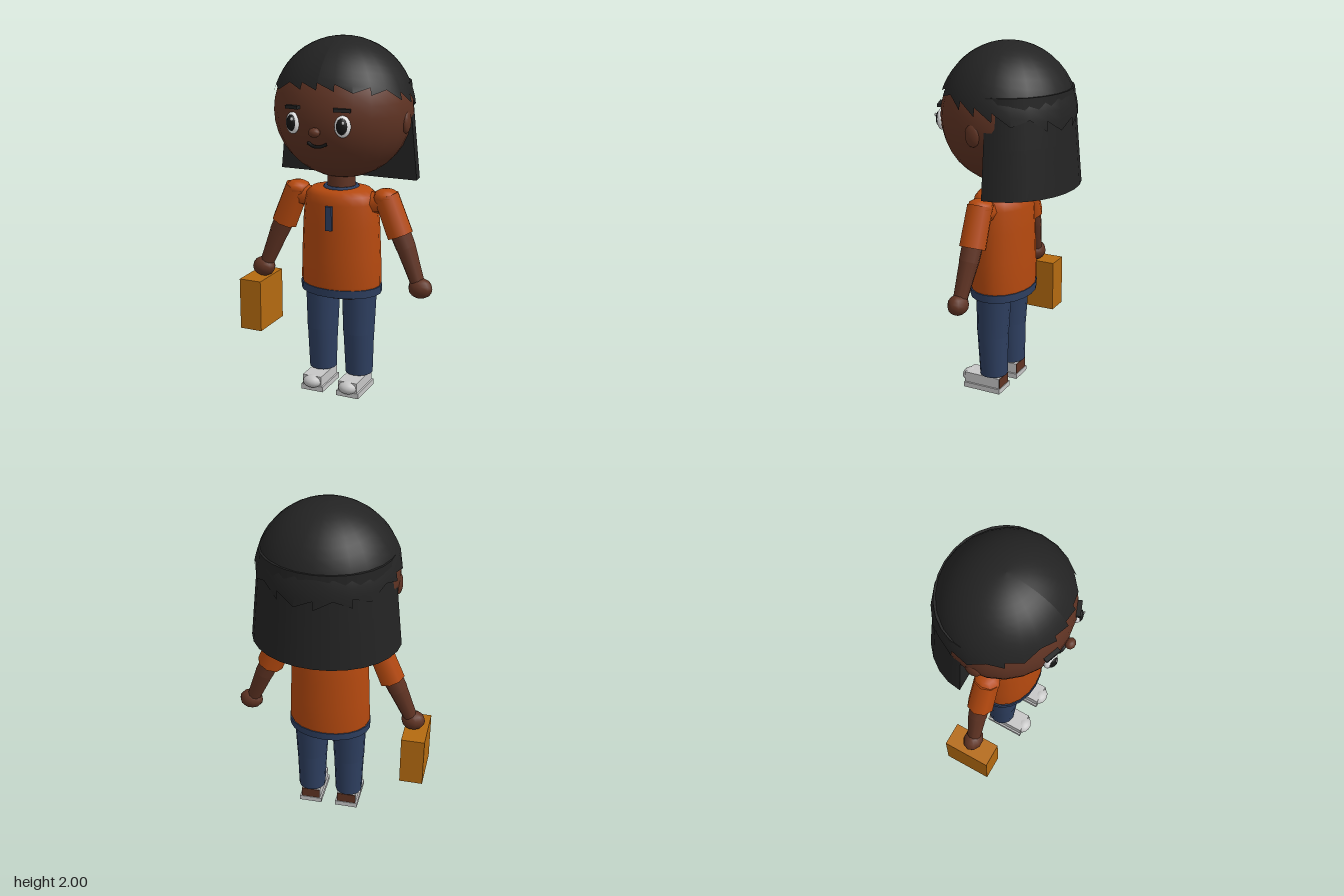
import * as THREE from 'three';

const material = (name, color, side = THREE.FrontSide) => {
  const m = new THREE.MeshStandardMaterial({ color, side });
  m.name = name;
  return m;
};

export function createModel() {
  const skin = material('skin', 0x5f3323);
  const hair = material('hair', 0x232323, THREE.DoubleSide);
  const orange = material('shirt orange', 0xb5490f);
  const navy = material('navy', 0x2e3f60);
  const bagTan = material('bag tan', 0xb46a10);
  const shoeGrey = material('shoe grey', 0xc6c6c6);
  const white = material('eye white', 0xe6e6e6);
  const black = material('black', 0x151515);

  const model = new THREE.Group();
  model.name = 'character';
  const body = new THREE.Group();
  body.name = 'body';
  body.position.x = 0.006;
  model.add(body);

  const add = (name, geometry, mat, x = 0, y = 0, z = 0, parent = body) => {
    const mesh = new THREE.Mesh(geometry, mat);
    mesh.name = name;
    mesh.position.set(x, y, z);
    parent.add(mesh);
    return mesh;
  };
  const ball = (name, mat, x, y, z, rx, ry, rz, w = 16, h = 12) =>
    add(name, new THREE.SphereGeometry(1, w, h).scale(rx, ry, rz), mat, x, y, z);
  const box = (name, mat, x, y, z, w, h, d, parent = body) =>
    add(name, new THREE.BoxGeometry(w, h, d), mat, x, y, z, parent);
  // Tapered limb from point a (radius ra) to point b (radius rb)
  const limb = (name, mat, a, b, ra, rb, sides) => {
    const from = new THREE.Vector3(...a), to = new THREE.Vector3(...b);
    const dir = from.clone().sub(to);
    const mesh = add(name, new THREE.CylinderGeometry(ra, rb, dir.length(), sides), mat);
    mesh.position.copy(from).add(to).multiplyScalar(0.5);
    mesh.quaternion.setFromUnitVectors(new THREE.Vector3(0, 1, 0), dir.normalize());
    return mesh;
  };
  const lathe = (points, sides) =>
    new THREE.LatheGeometry(points.map(p => new THREE.Vector2(...p)), sides);

  // Head and neck
  ball('head', skin, 0, 1.605, 0, 0.385, 0.375, 0.36, 24, 18);
  add('neck', new THREE.CylinderGeometry(0.078, 0.082, 0.18, 14), skin, 0, 1.18, 0.03);
  ball('nose', skin, 0, 1.535, 0.373, 0.033, 0.026, 0.028, 10, 8);

  // Hair cap: a dome whose rim follows a tilted plane
  const cap = new THREE.SphereGeometry(1, 24, 12);
  const pos = cap.attributes.position, uv = cap.attributes.uv;
  const dome = (phi, t) => new THREE.Vector3(
    0.397 * Math.sin(t) * Math.sin(phi), 1.6 + 0.4 * Math.cos(t), 0.375 * Math.sin(t) * Math.cos(phi));
  for (let i = 0; i < pos.count; i++) {
    const phi = Math.round(uv.getX(i) * 24) / 24 * Math.PI * 2;
    let lo = 0, hi = Math.PI;
    for (let k = 0; k < 24; k++) {
      const mid = (lo + hi) / 2, p = dome(phi, mid);
      if (p.y > 1.662 + 0.25 * p.z) lo = mid; else hi = mid;
    }
    const p = dome(phi, lo * (1 - uv.getY(i)));
    pos.setXYZ(i, p.x, p.y, p.z);
  }
  // The mapping runs the other way round the axis, so flip the faces
  const order = Array.from(cap.index.array);
  for (let i = 0; i < order.length; i += 3) [order[i], order[i + 1]] = [order[i + 1], order[i]];
  cap.setIndex(order);
  cap.computeVertexNormals();
  add('hairCap', cap, hair);

  // Back hair: flared half cylinder with a flat front
  const drape = new THREE.CylinderGeometry(0.358, 0.411, 0.53, 14, 2, false, Math.PI / 2, Math.PI);
  add('backHair', drape.scale(1, 1, 0.84), hair, 0, 1.495, -0.05);
  const panel = new THREE.Shape([[-0.411, 1.23], [0.411, 1.23], [0.358, 1.76], [-0.358, 1.76]]
    .map(p => new THREE.Vector2(...p)));
  add('backHairFront', new THREE.ShapeGeometry(panel), hair, 0, 0, -0.05);

  // Mouth
  const smile = new THREE.CatmullRomCurve3([
    [-0.055, 1.472, 0.335], [-0.025, 1.458, 0.342], [0, 1.455, 0.345], [0.025, 1.458, 0.342], [0.055, 1.472, 0.335],
  ].map(p => new THREE.Vector3(...p)));
  add('mouth', new THREE.TubeGeometry(smile, 12, 0.009, 6), black);

  // Shirt, collar, hem and placket
  const shirt = lathe([[0.225, 0.61], [0.234, 0.64], [0.23, 0.8], [0.222, 0.98], [0.212, 1.1],
    [0.2, 1.145], [0.17, 1.172], [0.09, 1.182]], 20);
  add('shirt', shirt.scale(1, 1, 0.745), orange, 0, 0, 0.03);
  const hem = new THREE.CylinderGeometry(0.238, 0.236, 0.045, 20);
  add('shirtHem', hem.scale(1, 1, 0.74), navy, 0, 0.603, 0.03);
  const hips = new THREE.CylinderGeometry(0.215, 0.2, 0.03, 20);
  add('hips', hips.scale(1, 1, 0.72), skin, 0, 0.583, 0.03);
  const collar = new THREE.TorusGeometry(0.088, 0.013, 6, 20).rotateX(Math.PI / 2);
  add('collar', collar, navy, 0, 1.178, 0.03);
  box('placket', navy, 0, 1.032, 0.2, 0.038, 0.135, 0.016);

  for (const s of [1, -1]) {
    const side = s > 0 ? 'left' : 'right';

    // Face details
    ball(side + 'Ear', skin, s * 0.372, 1.56, 0.018, 0.022, 0.062, 0.044, 12, 10);
    const turn = s * 0.3;
    const eye = ball(side + 'Eye', white, s * 0.143, 1.57, 0.335, 0.043, 0.058, 0.024);
    eye.rotation.y = turn;
    const pupil = ball(side + 'Pupil', black, s * 0.144, 1.572, 0.347, 0.031, 0.044, 0.02);
    pupil.rotation.y = turn;
    ball(side + 'EyeGlint', white, s * 0.146 + 0.012, 1.594, 0.363, 0.009, 0.01, 0.005, 8, 6);
    const brow = box(side + 'Brow', hair, s * 0.14, 1.654, 0.336, 0.09, 0.018, 0.03);
    brow.rotation.set(0, s * 0.35, -s * 0.05);

    // Arms
    limb(side + 'Sleeve', orange, [s * 0.268, 1.15, 0.033], [s * 0.353, 0.938, 0.035], 0.073, 0.076, 8);
    ball(side + 'Shoulder', orange, s * 0.268, 1.145, 0.033, 0.074, 0.046, 0.076, 8, 6);
    limb(side + 'ShoulderJoin', orange, [s * 0.15, 1.1, 0.03], [s * 0.27, 1.11, 0.033], 0.06, 0.06, 8);
    limb(side + 'UpperArm', skin, [s * 0.345, 0.97, 0.035], [s * 0.39, 0.87, 0.038], 0.058, 0.055, 10);
    limb(side + 'Forearm', skin, [s * 0.388, 0.875, 0.037], [s * 0.47, 0.67, 0.053], 0.054, 0.038, 10);
    ball(side + 'Hand', skin, s * 0.482, 0.657, 0.055, 0.069, 0.057, 0.056, 10, 8);

    // Trouser legs in two overlapping pieces
    limb(side + 'Thigh', navy, [s * 0.112, 0.6, 0.035], [s * 0.112, 0.345, 0.042], 0.1, 0.09, 14);
    limb(side + 'Shin', navy, [s * 0.112, 0.355, 0.042], [s * 0.113, 0.1, 0.036], 0.089, 0.079, 14);

    // Shoes with bare heels
    const x = s * 0.11;
    limb(side + 'Ankle', skin, [x, 0.13, 0.035], [x, 0.06, 0.035], 0.055, 0.055, 10);
    box(side + 'Sole', shoeGrey, x, 0.015, 0.085, 0.134, 0.03, 0.23);
    box(side + 'Upper', shoeGrey, x, 0.059, 0.088, 0.114, 0.062, 0.22);
    box(side + 'Heel', skin, x, 0.059, -0.022, 0.11, 0.058, 0.008);
    ball(side + 'ToeCap', shoeGrey, x, 0.056, 0.19, 0.056, 0.037, 0.046, 14, 10);
  }
  box('rightSolePatch', skin, -0.11, 0.002, 0.085, 0.11, 0.006, 0.21);

  // Bag hanging below the right hand
  box('bag', bagTan, -0.498, 0.455, 0.055, 0.134, 0.3, 0.27, model);

  return model;
}
